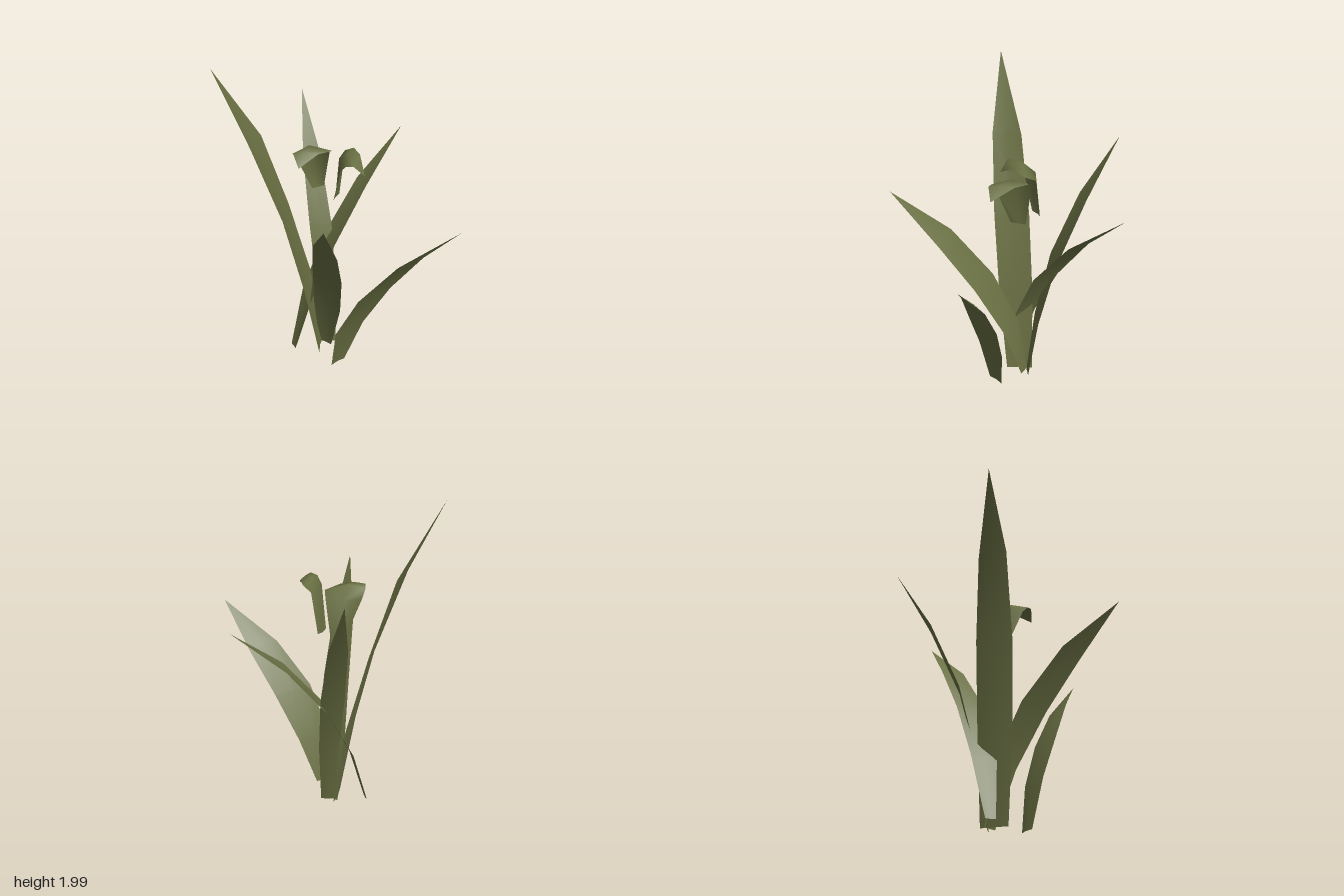
import * as THREE from 'three';

const V = (p) => new THREE.Vector3(...p);

// Smooth ribbon through rows of [left, centre, right], closed by a pointed tip
function blade(name, rows, tip, material) {
  const points = rows.flat();
  const index = [];
  rows.forEach((row, r) => {
    for (let c = 0; c < 2; c++) {
      const a = r * 3 + c;
      if (r < rows.length - 1) index.push(a, a + 1, a + 3, a + 1, a + 4, a + 3);
      else index.push(a, a + 1, rows.length * 3);
    }
  });
  points.push(V(tip));
  const geometry = new THREE.BufferGeometry().setFromPoints(points);
  geometry.setIndex(index);
  geometry.computeVertexNormals();
  const mesh = new THREE.Mesh(geometry, material);
  mesh.name = name;
  return mesh;
}

// Long leaf from pairs of edge points, slightly channelled along its midrib
function leaf(name, edges, tip, material) {
  const mids = edges.map(([l, r]) => V(l).add(V(r)).multiplyScalar(0.5));
  mids.push(V(tip));
  const rows = edges.map(([l, r], i) => {
    const across = V(r).sub(V(l));
    const along = mids[i + 1].clone().sub(mids[i]).normalize();
    const out = across.clone().cross(along).multiplyScalar(0.05);
    return [V(l), mids[i].clone().sub(out), V(r)];
  });
  return blade(name, rows, tip, material);
}

export function createModel() {
  const model = new THREE.Group();
  model.name = 'plant';
  const green = new THREE.MeshStandardMaterial({ color: 0x6a7043, side: THREE.DoubleSide });
  green.name = 'olive green';

  // Five long leaves, each from base to tip
  model.add(leaf('tallLeaf', [
    [[-0.07, 0.01, 0.01], [0, 0.01, -0.14]],
    [[-0.17, 0.55, 0.02], [-0.07, 0.55, -0.17]],
    [[-0.29, 1.07, 0], [-0.2, 1.07, -0.2]],
    [[-0.45, 1.55, -0.06], [-0.35, 1.55, -0.21]],
  ], [-0.62, 2, -0.19], green));

  model.add(leaf('frontLeftLeaf', [
    [[-0.03, 0.01, 0.15], [0.07, 0.01, 0.11]],
    [[-0.025, 0.32, 0.22], [0.18, 0.32, 0.15]],
    [[0.08, 0.63, 0.33], [0.32, 0.62, 0.24]],
    [[0.28, 0.91, 0.44], [0.47, 0.9, 0.37]],
  ], [0.6, 1.17, 0.57], green));

  model.add(leaf('frontRightLeaf', [
    [[-0.03, 0.01, -0.12], [0.03, 0.01, -0.05]],
    [[-0.08, 0.38, -0.07], [0.05, 0.38, 0.075]],
    [[-0.13, 0.74, 0.08], [0, 0.73, 0.25]],
    [[-0.2, 1.08, 0.32], [-0.09, 1.04, 0.44]],
  ], [-0.24, 1.39, 0.67], green));

  model.add(leaf('backLeaf', [
    [[0, 0.01, -0.1], [0.07, 0.01, -0.08]],
    [[-0.03, 0.43, -0.17], [0.09, 0.43, -0.14]],
    [[-0.045, 0.85, -0.28], [0.095, 0.83, -0.25]],
    [[-0.03, 1.25, -0.46], [0.08, 1.25, -0.45]],
  ], [0.03, 1.61, -0.68], green));

  model.add(leaf('backLeftLeaf', [
    [[-0.22, 0.01, -0.14], [-0.21, 0.01, -0.08]],
    [[-0.115, 0.4, -0.21], [-0.1, 0.4, -0.06]],
    [[0.06, 0.76, -0.28], [0.07, 0.76, -0.11]],
    [[0.3, 1.09, -0.355], [0.31, 1.09, -0.22]],
  ], [0.61, 1.385, -0.41], green));

  // Two short petals that rise and fold over into a hood
  const petal = (name, rows, tip) =>
    model.add(blade(name, rows.map((row) => row.map(V)), tip, green));

  petal('leftPetal', [
    [[0.02, 1.175, 0.02], [0.045, 1.17, -0.02], [0.08, 1.175, -0.05]],
    [[0.03, 1.42, 0.12], [0.06, 1.44, 0], [0.12, 1.45, -0.07]],
    [[0.05, 1.465, 0.155], [0.095, 1.5, 0.05], [0.16, 1.48, -0.03]],
    [[0.085, 1.475, 0.185], [0.125, 1.485, 0.12], [0.167, 1.48, 0.06]],
  ], [0.15, 1.41, 0.2]);

  petal('rightPetal', [
    [[-0.06, 1.175, -0.155], [-0.02, 1.17, -0.172], [0.02, 1.175, -0.17]],
    [[-0.165, 1.42, -0.14], [-0.06, 1.43, -0.175], [0.045, 1.43, -0.13]],
    [[-0.195, 1.465, -0.09], [-0.09, 1.5, -0.1], [0.04, 1.46, -0.065]],
    [[-0.2, 1.48, -0.055], [-0.13, 1.49, -0.04], [-0.06, 1.475, -0.02]],
  ], [-0.185, 1.41, 0]);

  return model;
}
